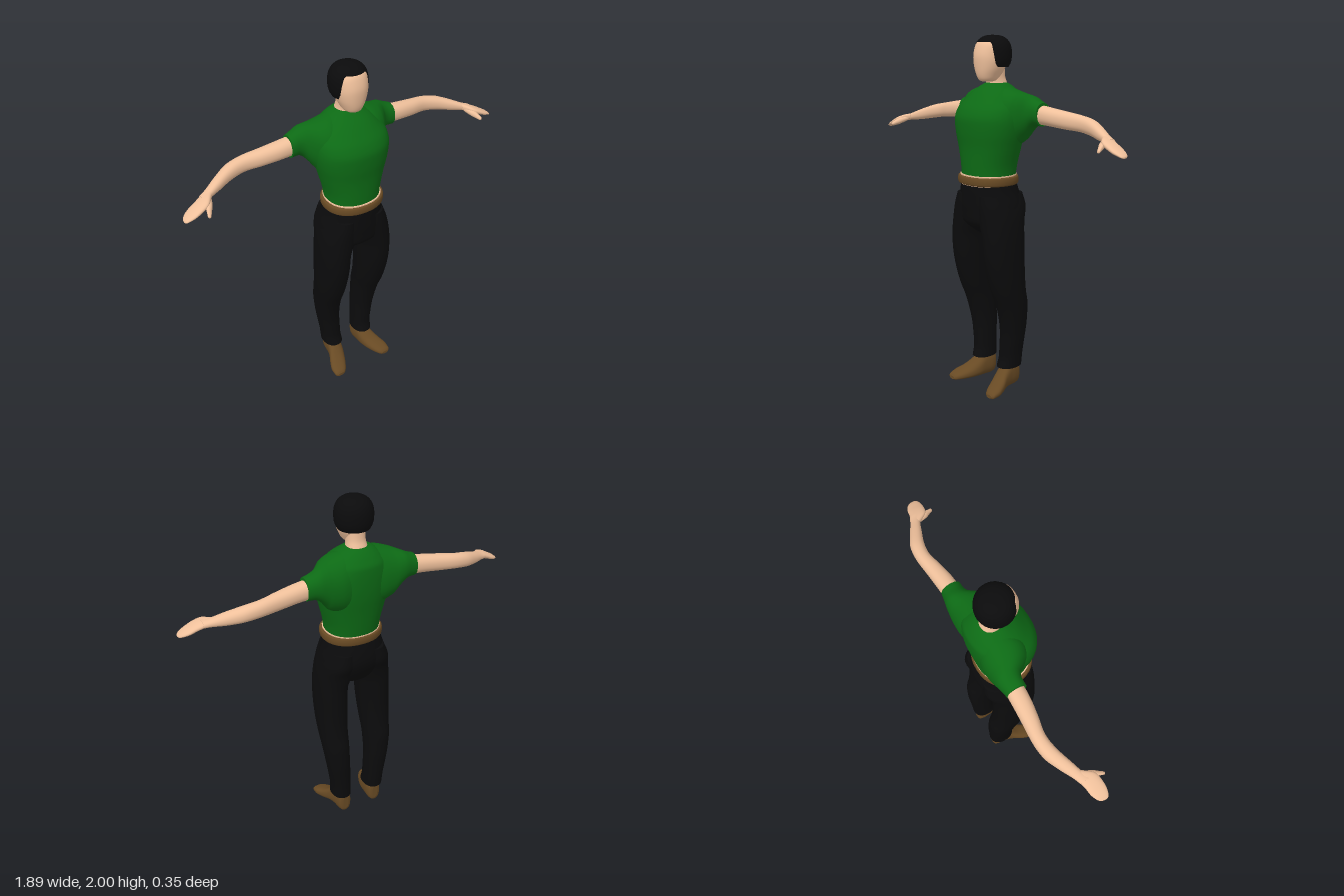
import * as THREE from 'three';

const mat = (color) => new THREE.MeshStandardMaterial({ color, side: THREE.DoubleSide, roughness: 0.9 });
const SKIN = mat(0xefc09b), GREEN = mat(0x0d6a15), BLACK = mat(0x0b0b0c), BROWN = mat(0x684a24);

// Joins equal closed rings of [x, y, z] points into one smooth surface.
function skinRings(rings, flip) {
  const n = rings[0].length, index = [];
  for (let i = 0; i < rings.length - 1; i++) {
    for (let j = 0; j < n; j++) {
      const a = i * n + j, b = i * n + (j + 1) % n, c = a + n, d = b + n;
      if (flip) index.push(a, c, b, b, c, d);
      else index.push(a, b, c, b, d, c);
    }
  }
  const g = new THREE.BufferGeometry();
  g.setAttribute('position', new THREE.Float32BufferAttribute(rings.flat(2), 3));
  g.setIndex(index);
  g.computeVertexNormals();
  return g;
}

// Smooth interpolation between sections without overshoot.
function smoothSections(sections, steps) {
  const tangent = (i, k) => {
    if (i === 0 || i === sections.length - 1) return null;
    const a = sections[i][k] - sections[i - 1][k], b = sections[i + 1][k] - sections[i][k];
    return a * b <= 0 ? 0 : Math.sign(a) * Math.min(Math.abs(a + b) / 2, 2 * Math.abs(a), 2 * Math.abs(b));
  };
  const out = [];
  for (let i = 0; i < sections.length - 1; i++) {
    for (let s = 0; s < steps; s++) {
      const t = s / steps;
      out.push(sections[i].map((p, k) => {
        const q = sections[i + 1][k];
        const m0 = tangent(i, k) ?? q - p, m1 = tangent(i + 1, k) ?? q - p;
        return p + t * m0 + t * t * (3 * (q - p) - 2 * m0 - m1) + t * t * t * (2 * (p - q) + m0 + m1);
      }));
    }
  }
  out.push(sections[sections.length - 1]);
  return out;
}

// Lofts sections [t, u0, u1, v0, v1]; axis y: u=x, v=z; axis x: u=y, v=z; axis z: u=x, v=y.
function loft(axis, sections, { power = 2.2, mirror = 1, steps = 5, sides = 36 } = {}) {
  const place = {
    y: (t, u, v) => [mirror * u, t, v],
    x: (t, u, v) => [mirror * t, u, v],
    z: (t, u, v) => [mirror * u, v, t],
  }[axis];
  const bend = (c) => Math.sign(c) * Math.abs(c) ** (2 / power);
  const ring = ([t, u0, u1, v0, v1], size = 1) => Array.from({ length: sides }, (_, j) => {
    const a = (j / sides) * Math.PI * 2;
    return place(t, (u0 + u1) / 2 + size * bend(Math.cos(a)) * (u1 - u0) / 2,
      (v0 + v1) / 2 + size * bend(Math.sin(a)) * (v1 - v0) / 2);
  });
  const list = smoothSections(sections, steps), last = list[list.length - 1];
  // end caps use their own rings so the rims stay sharp
  const rings = [ring(list[0], 0), ring(list[0], 0.999), ...list.map((s) => ring(s)), ring(last, 0.999), ring(last, 0)];
  return skinRings(rings, (axis === 'y') !== (mirror < 0));
}

// Hair cap whose lower edge rises over the forehead.
function hairGeometry() {
  const rings = [], rows = 18, sides = 64;
  for (let i = 0; i <= rows + 1; i++) {
    const f = Math.min(i / rows, 1), inset = i > rows ? 0.7 : 1;
    rings.push(Array.from({ length: sides }, (_, j) => {
      const a = (j / sides) * Math.PI * 2;
      const fromFront = Math.min(a, Math.PI * 2 - a);
      const edge = 1.962 - 0.13 * THREE.MathUtils.smoothstep(fromFront, 0.72, 1.08);
      const y = 2 - (2 - edge) * f * f;
      const h = inset * 0.102 * Math.max(0, 1 - Math.abs((y - 1.9) / 0.1) ** 2.5) ** 0.4;
      return [h * Math.sin(a), y, -0.019 + h * Math.cos(a)];
    }));
  }
  return skinRings(rings, false);
}

export function createModel() {
  const model = new THREE.Group();
  const add = (name, geometry, material) => {
    const mesh = new THREE.Mesh(geometry, material);
    mesh.name = name;
    model.add(mesh);
  };
  // symmetric section: height, half width, back, front
  const sym = (rows) => rows.map(([y, w, back, front]) => [y, -w, w, back, front]);

  // Head and neck
  add('head', loft('y', sym([
    [1.755, 0.025, -0.02, 0.05], [1.765, 0.045, -0.04, 0.068], [1.79, 0.06, -0.06, 0.08],
    [1.83, 0.077, -0.08, 0.088], [1.88, 0.087, -0.1, 0.092], [1.93, 0.086, -0.1, 0.083],
    [1.965, 0.068, -0.08, 0.066], [1.985, 0.03, -0.04, 0.03],
  ])), SKIN);
  add('neck', loft('y', sym([
    [1.7, 0.07, -0.12, 0.03], [1.75, 0.054, -0.1, 0.01], [1.79, 0.05, -0.088, 0.02], [1.86, 0.05, -0.085, 0.03],
  ])), SKIN);
  add('hair', hairGeometry(), BLACK);

  // Shirt body
  add('shirtBody', loft('y', sym([
    [1.235, 0.15, -0.125, 0.152], [1.3, 0.156, -0.135, 0.155], [1.4, 0.18, -0.15, 0.16],
    [1.48, 0.2, -0.163, 0.17], [1.55, 0.208, -0.17, 0.174], [1.61, 0.2, -0.172, 0.155],
    [1.66, 0.17, -0.17, 0.115], [1.7, 0.135, -0.15, 0.075], [1.73, 0.095, -0.125, 0.035], [1.748, 0.058, -0.102, 0.012],
  ])), GREEN);

  // Waist, belt and hips
  add('waist', loft('y', sym([[1.2, 0.155, -0.128, 0.158], [1.257, 0.157, -0.13, 0.16]])), SKIN);
  add('belt', loft('y', sym([
    [1.203, 0.163, -0.13, 0.16], [1.208, 0.17, -0.136, 0.168], [1.228, 0.173, -0.139, 0.171],
    [1.246, 0.17, -0.136, 0.168], [1.25, 0.163, -0.13, 0.16],
  ])), BROWN);
  add('hips', loft('y', sym([
    [0.92, 0.045, -0.05, 0.06], [0.95, 0.11, -0.09, 0.105], [1, 0.185, -0.12, 0.148],
    [1.05, 0.198, -0.143, 0.153], [1.1, 0.19, -0.152, 0.156], [1.16, 0.17, -0.143, 0.156], [1.22, 0.156, -0.125, 0.152],
  ])), BLACK);

  for (const [side, mirror] of [['left', 1], ['right', -1]]) {
    // Sleeve, blending into the chest
    add(side + 'Sleeve', loft('x', [
      [0.06, 1.4, 1.738, -0.155, 0.04], [0.13, 1.41, 1.72, -0.165, 0.075], [0.18, 1.435, 1.705, -0.164, 0.055],
      [0.21, 1.475, 1.695, -0.162, 0.02], [0.245, 1.515, 1.682, -0.158, -0.025],
      [0.28, 1.53, 1.665, -0.15, -0.036], [0.315, 1.53, 1.652, -0.143, -0.036],
    ], { mirror }), GREEN);
    // Arm
    add(side + 'Arm', loft('x', [
      [0.26, 1.54, 1.645, -0.138, -0.045], [0.36, 1.535, 1.632, -0.142, -0.048], [0.46, 1.526, 1.618, -0.147, -0.062],
      [0.56, 1.519, 1.603, -0.153, -0.08], [0.64, 1.508, 1.588, -0.145, -0.068],
      [0.72, 1.495, 1.56, -0.11, -0.04], [0.79, 1.488, 1.53, -0.071, -0.014], [0.83, 1.482, 1.518, -0.054, 0.012],
    ], { mirror }), SKIN);
    // Hand and thumb
    add(side + 'Hand', loft('x', [
      [0.78, 1.492, 1.53, -0.07, -0.015], [0.82, 1.482, 1.52, -0.055, 0.035], [0.86, 1.466, 1.504, -0.043, 0.047],
      [0.895, 1.453, 1.485, -0.036, 0.05], [0.925, 1.445, 1.468, -0.022, 0.045], [0.942, 1.441, 1.455, -0.005, 0.037],
      [0.947, 1.442, 1.449, 0.01, 0.025],
    ], { mirror }), SKIN);
    add(side + 'Thumb', loft('z', [
      [-0.01, 0.785, 0.83, 1.484, 1.516], [0.03, 0.8, 0.836, 1.472, 1.504], [0.055, 0.817, 0.842, 1.464, 1.49],
      [0.075, 0.829, 0.847, 1.459, 1.477], [0.081, 0.835, 0.843, 1.463, 1.471],
    ], { mirror, sides: 16 }), SKIN);
    // Trouser leg
    add(side + 'Leg', loft('y', [
      [0.13, 0.05, 0.167, -0.126, 0.028], [0.2, 0.054, 0.17, -0.13, 0.012], [0.3, 0.057, 0.184, -0.136, 0.012],
      [0.4, 0.06, 0.198, -0.142, 0.024], [0.5, 0.06, 0.21, -0.141, 0.05], [0.6, 0.056, 0.218, -0.122, 0.09],
      [0.7, 0.051, 0.223, -0.112, 0.12], [0.8, 0.047, 0.224, -0.11, 0.14], [0.9, 0.042, 0.222, -0.11, 0.147],
      [1, 0.012, 0.213, -0.122, 0.15], [1.08, 0.006, 0.194, -0.148, 0.152], [1.15, 0.01, 0.165, -0.14, 0.148],
    ], { mirror }), BLACK);
    // Shoe, toe turned outward
    add(side + 'Shoe', loft('z', [
      [-0.114, 0.085, 0.12, 0.03, 0.12], [-0.106, 0.068, 0.138, 0.01, 0.15], [-0.07, 0.06, 0.148, 0.003, 0.165],
      [-0.03, 0.062, 0.153, 0.004, 0.155], [0.01, 0.066, 0.163, 0.004, 0.118], [0.06, 0.082, 0.187, 0.001, 0.078],
      [0.11, 0.105, 0.204, 0, 0.054], [0.145, 0.128, 0.202, 0, 0.038], [0.158, 0.145, 0.188, 0.005, 0.024],
    ], { mirror, power: 2.4 }), BROWN);
  }
  return model;
}
